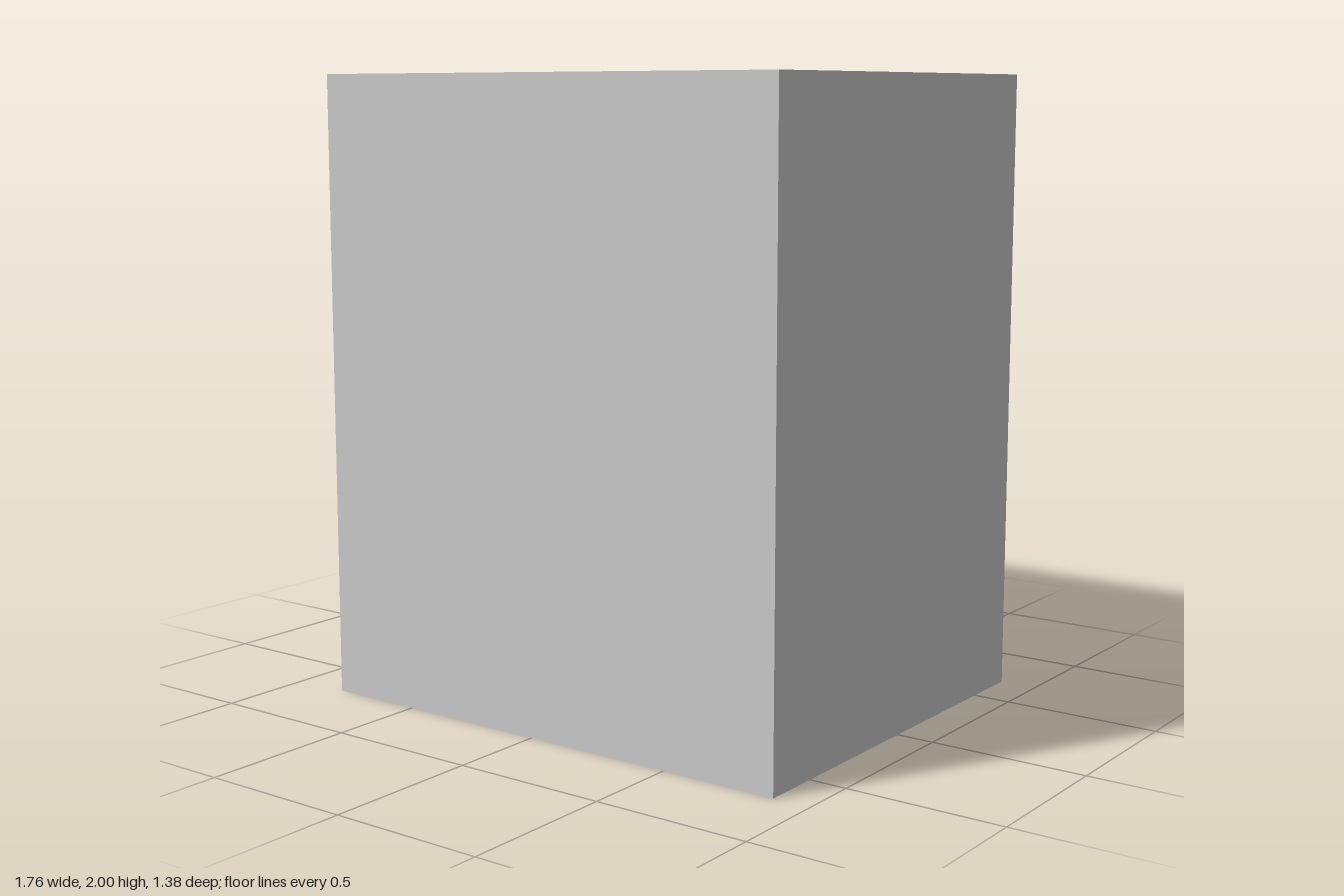
import * as THREE from 'three';

const grey = new THREE.MeshStandardMaterial({ color: 0xcccccc, side: THREE.DoubleSide });
const dark = new THREE.MeshStandardMaterial({ color: 0x666666, side: THREE.DoubleSide });

const H = 2, HALF_W = 0.69, FRONT = 0.815, BACK = -0.88;
const WOOFER_Y = 0.735, TWEETER_Y = 1.595;

function part(name, geometry, material, x = 0, y = 0, z = 0) {
  const m = new THREE.Mesh(geometry, material);
  m.name = name;
  m.position.set(x, y, z);
  return m;
}

// Profile of [radius, depth] pairs turned about the z axis
function turned(points, segments = 72) {
  const g = new THREE.LatheGeometry(points.map(([r, z]) => new THREE.Vector2(r, z)), segments);
  return g.rotateX(Math.PI / 2);
}

function circleHole(x, y, r) {
  return new THREE.Path().absarc(x, y, r, 0, Math.PI * 2, true);
}

function extrude(shape, depth, curveSegments) {
  return new THREE.ExtrudeGeometry(shape, { depth, bevelEnabled: false, curveSegments });
}

// Trim plate: large ring and small disc joined by a waisted neck
function trimShape() {
  const R = 0.625, r = 0.245, neck = 0.14;
  const a = Math.acos(neck / R);
  const b = -0.7;
  const s = new THREE.Shape();
  s.absarc(0, WOOFER_Y, R, Math.PI - a, a, false);
  s.quadraticCurveTo(0.12, 1.385, r * Math.cos(b), TWEETER_Y + r * Math.sin(b));
  s.absarc(0, TWEETER_Y, r, b, Math.PI - b, false);
  s.quadraticCurveTo(-0.12, 1.385, -neck, WOOFER_Y + R * Math.sin(a));
  s.holes.push(circleHole(0, WOOFER_Y, 0.51));
  return s;
}

export function createModel() {
  const root = new THREE.Group();
  root.name = 'loudspeaker';
  // Built facing +z, then turned so the baffle faces -x
  const body = new THREE.Group();
  body.name = 'speakerBody';
  body.rotation.y = -Math.PI / 2;
  root.add(body);

  // Cabinet without its baffle side (the fifth face of the box)
  const shell = new THREE.BoxGeometry(HALF_W * 2, H, FRONT - BACK);
  const index = Array.from(shell.index.array);
  index.splice(24, 6);
  shell.setIndex(index);
  shell.clearGroups();
  body.add(part('cabinet', shell, grey, 0, H / 2, (FRONT + BACK) / 2));

  // Baffle with the woofer opening
  const panel = new THREE.Shape([
    new THREE.Vector2(-HALF_W, 0), new THREE.Vector2(HALF_W, 0),
    new THREE.Vector2(HALF_W, H), new THREE.Vector2(-HALF_W, H),
  ]);
  panel.holes.push(circleHole(0, WOOFER_Y, 0.51));
  body.add(part('baffle', new THREE.ShapeGeometry(panel, 48), grey, 0, 0, FRONT));

  body.add(part('trimPlate', extrude(trimShape(), 0.011, 48), dark, 0, 0, FRONT));

  // Woofer, very slightly tilted
  const woofer = new THREE.Group();
  woofer.name = 'woofer';
  woofer.position.set(0, WOOFER_Y, 0);
  woofer.rotation.y = 0.024;
  body.add(woofer);
  woofer.add(part('wooferRimOuter', turned([[0.545, 0.8], [0.528, 0.866]]), grey));
  woofer.add(part('wooferSurround', turned([
    [0.528, 0.866], [0.518, 0.869], [0.5, 0.86], [0.482, 0.843], [0.465, 0.832],
  ]), grey));
  woofer.add(part('wooferCone', turned([
    [0.465, 0.832], [0.435, 0.775], [0.385, 0.71], [0.32, 0.65], [0.24, 0.6], [0.14, 0.56],
  ]), grey));
  woofer.add(part('dustCap', turned([
    [0.145, 0.562], [0.12, 0.578], [0.08, 0.592], [0.04, 0.599], [0, 0.601],
  ], 40), dark));

  // Tweeter dome
  body.add(part('tweeterDome', turned([
    [0.115, 0.822], [0.1, 0.829], [0.08, 0.837], [0.055, 0.843], [0.028, 0.847], [0, 0.848],
  ], 48), grey, 0, TWEETER_Y, 0));

  // Ring sockets in the four corners
  const ring = new THREE.Shape().absarc(0, 0, 0.055, 0, Math.PI * 2, false);
  ring.holes.push(circleHole(0, 0, 0.025));
  const socket = extrude(ring, 0.01, 12);
  for (const x of [-0.525, 0.525])
    for (const y of [0.115, 1.84]) body.add(part('cornerSocket', socket, dark, x, y, FRONT));

  return root;
}
